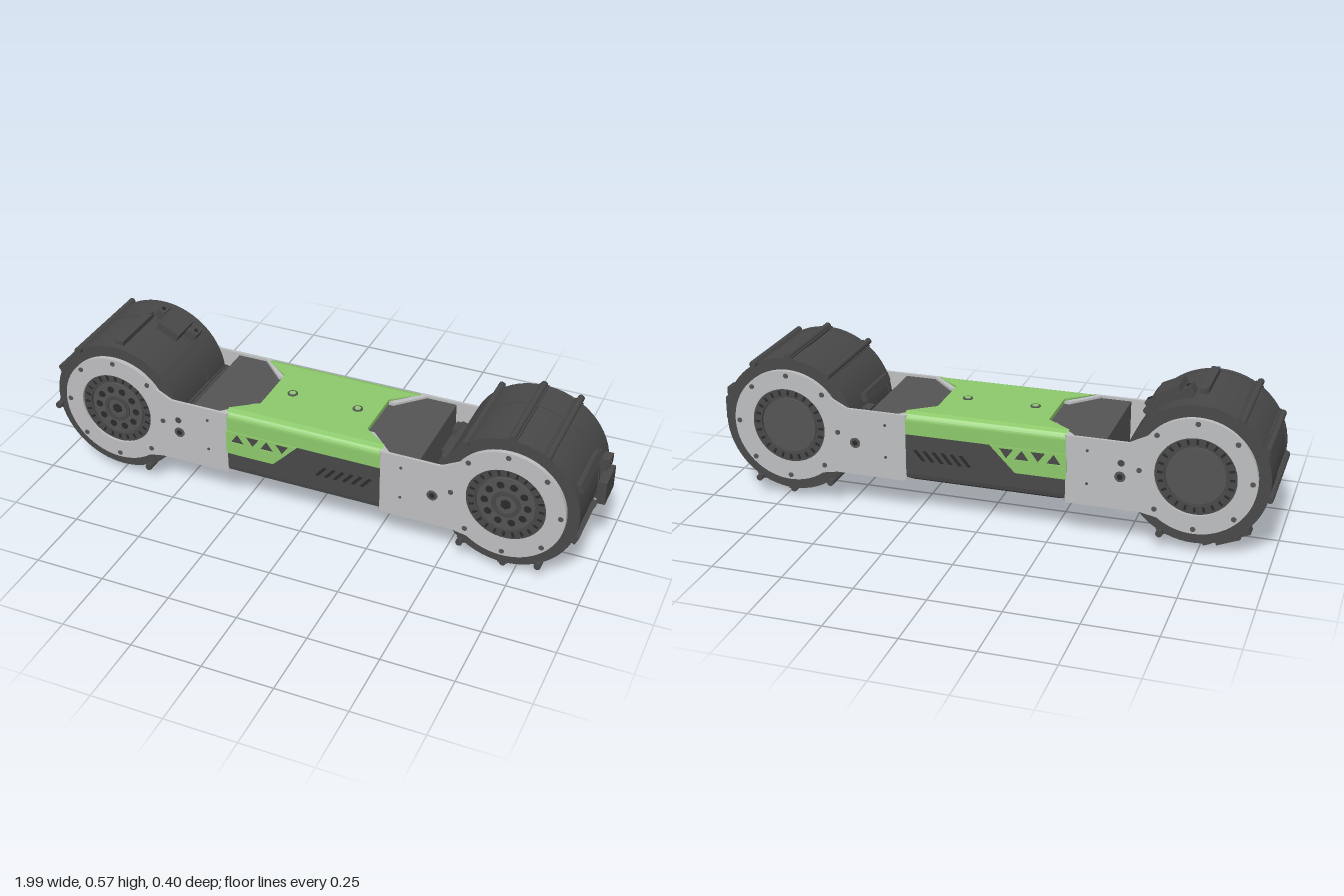
import * as THREE from 'three';

const mat = (name, color) => {
  const m = new THREE.MeshStandardMaterial({ color });
  m.name = name;
  return m;
};

export function createModel() {
  const green = mat('green', 0x8cc86a);
  const light = mat('lightGrey', 0xbdbec0);
  const dark = mat('darkGrey', 0x484848);
  const deckGrey = mat('deckGrey', 0x545454);
  const black = mat('black', 0x2a2a2a);

  const root = new THREE.Group();
  root.name = 'twoWheelRobot';
  const body = new THREE.Group();
  body.name = 'body';
  body.position.x = -0.012;
  root.add(body);

  const add = (parent, name, geo, material, x = 0, y = 0, z = 0) => {
    const m = new THREE.Mesh(geo, material);
    m.name = name;
    m.position.set(x, y, z);
    parent.add(m);
    return m;
  };
  const box = (w, h, d) => new THREE.BoxGeometry(w, h, d);
  // cylinder lying along z
  const disc = (r, depth, n = 24) => new THREE.CylinderGeometry(r, r, depth, n).rotateX(Math.PI / 2);
  const shapeOf = (pts) => new THREE.Shape(pts.map(([x, y]) => new THREE.Vector2(x, y)));
  const holeOf = (pts) => new THREE.Path(pts.map(([x, y]) => new THREE.Vector2(x, y)));
  const slab = (shape, depth) => new THREE.ExtrudeGeometry(shape, { depth, bevelEnabled: false, curveSegments: 32 });
  const ring = (ro, ri, depth) => {
    const s = new THREE.Shape().absarc(0, 0, ro, 0, Math.PI * 2);
    s.holes.push(new THREE.Path().absarc(0, 0, ri, 0, Math.PI * 2, true));
    return slab(s, depth).translate(0, 0, -depth / 2);
  };
  // plan outline (x, z) raised from y0 to y1, with rounded long edges given by inset(y)
  const plan = (pts, y0, y1, inset = () => 0, steps = 1) => {
    const g = new THREE.ExtrudeGeometry(shapeOf(pts), { depth: y1 - y0, steps, bevelEnabled: false });
    g.rotateX(-Math.PI / 2).translate(0, y0, 0);
    const p = g.attributes.position;
    for (let i = 0; i < p.count; i++) {
      const z = p.getZ(i);
      if (Math.abs(z) > 0.15) p.setZ(i, z - Math.sign(z) * inset(p.getY(i)));
    }
    g.computeVertexNormals();
    return g;
  };
  const fillet = (t, r) => (t > 0 ? r - Math.sqrt(Math.max(0, r * r - t * t)) : 0);

  // central pod: dark lower shell with green cover, both notched at the ends
  const notch = [[0.289, 0.196], [0.2, 0.1], [0.2, -0.1], [0.289, -0.196],
    [-0.289, -0.196], [-0.2, -0.1], [-0.2, 0.1], [-0.289, 0.196]];
  add(body, 'lowerShell', plan(notch, 0.12, 0.296, (y) => fillet(0.145 - y, 0.025), 12), dark);
  add(body, 'topCover', plan(notch, 0.296, 0.374, (y) => fillet(y - 0.344, 0.03), 12), green);

  // side panels with triangular openings and louvres, on front and back
  const panel = shapeOf([[-0.289, 0.205], [-0.11, 0.205], [-0.02, 0.296], [-0.289, 0.296]]);
  for (let i = 0; i < 4; i++) {
    const x = -0.245 + i * 0.056, up = i % 2 ? -1 : 1;
    panel.holes.push(holeOf([[x - 0.026, 0.272 - up * 0.018], [x + 0.026, 0.272 - up * 0.018], [x, 0.272 + up * 0.018]]));
  }
  const louvre = shapeOf([[-0.022, -0.018], [-0.01, -0.02], [0.022, 0.018], [0.01, 0.02]]);
  for (const f of [1, -1]) {
    add(body, 'sidePanel', slab(panel, 0.004), green, 0, 0, f > 0 ? 0.196 : -0.2);
    for (let i = 0; i < 6; i++)
      add(body, 'louvre', slab(louvre, 0.002), black, 0.07 + i * 0.033, 0.222, f > 0 ? 0.196 : -0.198);
  }
  for (const x of [-0.123, 0.123]) {
    add(body, 'coverBoltSeat', new THREE.CylinderGeometry(0.018, 0.018, 0.004, 20), deckGrey, x, 0.375, 0);
    add(body, 'coverBolt', new THREE.CylinderGeometry(0.012, 0.012, 0.006, 6), green, x, 0.376, 0);
  }

  const HUB_X = 0.725, HUB_Y = 0.272;
  for (const s of [1, -1]) {
    // deck block between the brackets
    add(body, 'deck', plan([[s * 0.19, -0.09], [s * 0.22, -0.09], [s * 0.312, -0.183], [s * 0.42, -0.183],
      [s * 0.42, 0.183], [s * 0.312, 0.183], [s * 0.22, 0.09], [s * 0.19, 0.09]], 0.121, 0.358), deckGrey);

    // side plate: a round wheel guard joined to a straight arm
    const pts = [[s * 0.286, 0.12], [s * 0.286, 0.365]];
    const R = 0.205, a0 = Math.asin(0.093 / R), a1 = 2 * Math.PI - Math.asin(0.152 / R);
    pts.push([s * (HUB_X - 0.225), 0.365]);
    for (let i = 1; i <= 48; i++) {
      const a = a0 + 0.08 + (a1 - a0 - 0.16) * i / 48;
      pts.push([s * (HUB_X - R * Math.cos(a)), HUB_Y + R * Math.sin(a)]);
    }
    pts.push([s * (HUB_X - 0.18), 0.12]);
    const plate = shapeOf(pts);
    plate.holes.push(new THREE.Path().absarc(s * HUB_X, HUB_Y, 0.138, 0, Math.PI * 2, true));

    for (const f of [1, -1]) {
      add(body, 'sidePlate', slab(plate, 0.01), light, 0, 0, f > 0 ? 0.187 : -0.197);
      // bent part of the plate running in behind the pod
      add(body, 'plateBend', plan([[s * 0.286, f * 0.197], [s * 0.312, f * 0.197], [s * 0.312, f * 0.185],
        [s * 0.225, f * 0.098], [s * 0.2, f * 0.098]], 0.12, 0.365), light);
      const bolt = (x, y, r) => add(body, 'plateBolt', disc(r, 0.006, 12), deckGrey, s * x, y, f * 0.197);
      add(body, 'armBoltRing', disc(0.019, 0.004, 20), deckGrey, s * 0.473, 0.24, f * 0.197);
      add(body, 'armBolt', disc(0.011, 0.006, 6), black, s * 0.473, 0.24, f * 0.197);
      for (const y of [0.2, 0.32]) bolt(0.36, y, 0.005);
      for (let i = 0; i < 8; i++) {
        const a = i * Math.PI / 4 + Math.PI / 2;
        bolt(HUB_X + 0.188 * Math.cos(a), HUB_Y + 0.188 * Math.sin(a), 0.009);
      }
    }

    // wheel drum in stepped bands
    const wheel = new THREE.Group();
    wheel.name = s > 0 ? 'leftWheel' : 'rightWheel';
    wheel.position.set(s * HUB_X, HUB_Y, 0);
    body.add(wheel);
    const band = (r, z0, z1) => add(wheel, 'drum', disc(r, z1 - z0, 64), dark, 0, 0, (z0 + z1) / 2);
    band(0.246, -0.18, -0.05);
    band(0.243, -0.05, 0.155);
    band(0.246, 0.155, 0.18);

    // hubs: detailed front, plain back
    for (const f of [1, -1]) {
      const hub = new THREE.Group();
      hub.name = f > 0 ? 'frontHub' : 'backHub';
      hub.rotation.y = f > 0 ? 0 : Math.PI;
      wheel.add(hub);
      add(hub, 'guardRim', ring(0.205, 0.138, 0.01), light, 0, 0, 0.184);
      add(hub, 'hubRing', ring(0.138, 0.106, 0.008), dark, 0, 0, 0.184);
      for (let i = 0; i < 24; i++) {
        const a = i * Math.PI / 12;
        add(hub, 'hubTooth', box(0.018, 0.008, 0.004), black, 0.121 * Math.cos(a), 0.121 * Math.sin(a), 0.188).rotation.z = a;
      }
      add(hub, 'hubDisc', disc(0.1, 0.01, 40), deckGrey, 0, 0, 0.183);
      if (f < 0) continue;
      for (let i = 0; i < 10; i++) {
        const a = i * Math.PI / 5;
        add(hub, 'hubHole', disc(0.013, 0.003, 14), black, 0.074 * Math.cos(a), 0.074 * Math.sin(a), 0.188);
      }
      add(hub, 'hubCollar', ring(0.05, 0.036, 0.008), dark, 0, 0, 0.19);
      add(hub, 'hubBolt', disc(0.018, 0.008, 6), black, 0, 0, 0.19);
    }

    // tread: cross rods, wide ribs and latches, turned differently on each wheel
    const tread = new THREE.Group();
    tread.name = 'tread';
    tread.rotation.z = s > 0 ? 0 : THREE.MathUtils.degToRad(64);
    wheel.add(tread);
    const spoke = (deg) => {
      const g = new THREE.Group();
      g.name = 'treadPart';
      g.rotation.z = THREE.MathUtils.degToRad(deg);
      tread.add(g);
      return g;
    };
    for (const d of [60, 90, 127, -60, -90, -127]) {
      const long = Math.abs(d) === 90 ? 0.36 : 0.396;
      const g = spoke(d);
      add(g, 'crossRod', disc(0.012, long, 12), dark, 0.25, 0, 0);
      add(g, 'crossRodFoot', box(0.012, 0.034, 0.36), dark, 0.244, 0, 0);
    }
    for (const base of [0, 184]) {
      for (const d of [-24, 24]) {
        const g = spoke(base + d);
        add(g, 'wideRib', box(0.03, 0.03, 0.225), dark, 0.246, 0, 0.0425);
        add(g, 'ribEnd', box(0.034, 0.022, 0.022), dark, 0.248, 0, -0.062);
      }
      const g = spoke(base);
      add(g, 'latch', box(0.03, 0.086, 0.115), dark, 0.271, 0, -0.05);
      add(g, 'latchBase', box(0.03, 0.15, 0.05), dark, 0.25, 0, -0.088);
      for (const y of [-0.07, 0.07]) {
        add(g, 'latchClip', box(0.03, 0.03, 0.05), dark, 0.258, y, -0.09);
        add(g, 'latchScrew', new THREE.CylinderGeometry(0.008, 0.008, 0.004, 10).rotateZ(Math.PI / 2), black, 0.274, y, -0.085);
      }
    }
  }
  return root;
}
